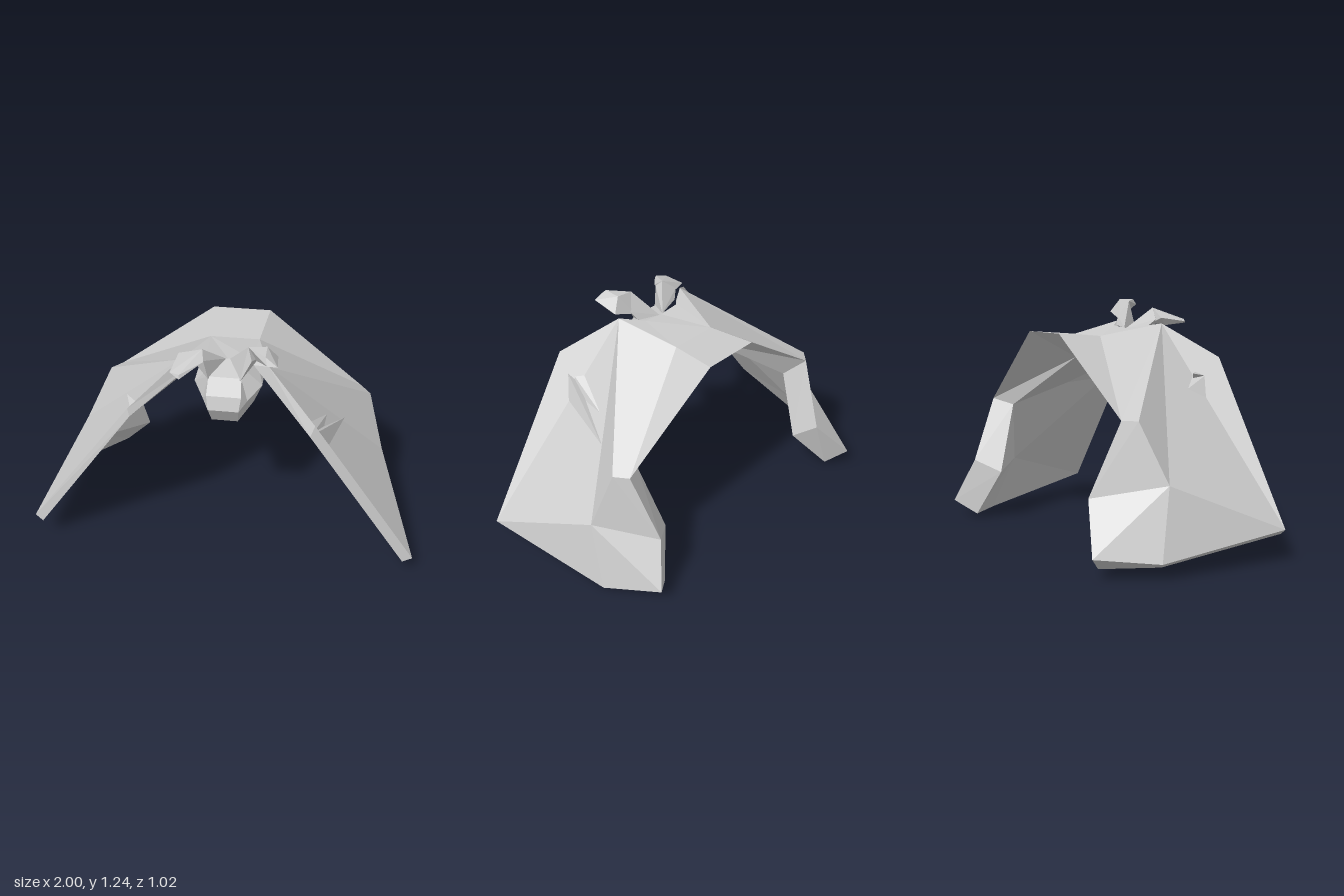
import * as THREE from 'three';
import { ConvexGeometry } from 'three/addons/geometries/ConvexGeometry.js';

const material = new THREE.MeshStandardMaterial({ color: 0xcccccc, flatShading: true, side: THREE.DoubleSide });

// Capitals are the outer skin, small letters the underside (x measured outward).
const leftHide = {
  S: [0.17, 1.08, -0.29], T: [0.14, 1.06, -0.03], N: [0.12, 1.1, 0.21], A: [0.22, 1.12, 0.3],
  B: [0.46, 0.94, 0.5], C: [1, 0.12, 0.48], D: [0.86, 0.02, -0.21], E: [0.72, 0.09, -0.49],
  G: [0.63, 0.33, -0.4], R: [0.68, 0.67, -0.25], P: [0.73, 0.67, -0.18], Q: [0.82, 0.36, -0.1],
  a: [0.14, 1.09, 0.25], b: [0.44, 0.88, 0.51], c: [0.95, 0.1, 0.49], d: [0.8, 0, -0.2],
  e: [0.61, 0.02, -0.4], g: [0.5, 0.27, -0.3], r: [0.57, 0.64, -0.18], q: [0.71, 0.3, -0.1],
  s: [0.18, 0.93, 0],
};
const rightHide = {
  S: [0.13, 1.08, -0.29], T: [0.11, 1.06, -0.03], N: [0.1, 1.1, 0.21], A: [0.21, 1.12, 0.29],
  B: [0.44, 0.95, 0.49], C: [1, 0.16, 0.45], D: [0.93, 0.08, -0.23], E: [0.78, 0.11, -0.51],
  G: [0.59, 0.34, -0.41], R: [0.64, 0.7, -0.26], P: [0.695, 0.7, -0.2], Q: [0.83, 0.41, -0.12],
  a: [0.14, 1.09, 0.25], b: [0.43, 0.91, 0.5], c: [0.96, 0.13, 0.46], d: [0.88, 0.05, -0.2],
  e: [0.69, 0.03, -0.42], g: [0.52, 0.26, -0.3], r: [0.56, 0.61, -0.17], q: [0.74, 0.31, -0.08],
  s: [0.16, 0.93, 0],
};
const outerFaces = 'STR TAR APR AQP ACQ ABC QCD QDE QEG PQG PGR TNA';
const innerFaces = 'SRs Rrs srb sba saN brq bqc rgq geq edq dcq';
const rim = 'ABCDEGR';

// Builds a flat-shaded mesh from polygons, each fanned into triangles.
function polygons(name, faces) {
  const pos = [];
  for (const f of faces)
    for (let i = 1; i < f.length - 1; i++) pos.push(...f[0], ...f[i], ...f[i + 1]);
  const geo = new THREE.BufferGeometry();
  geo.setAttribute('position', new THREE.Float32BufferAttribute(pos, 3));
  geo.computeVertexNormals();
  const mesh = new THREE.Mesh(geo, material);
  mesh.name = name;
  return mesh;
}

function hull(name, points) {
  const mesh = new THREE.Mesh(new ConvexGeometry(points.map(p => new THREE.Vector3(...p))), material);
  mesh.name = name;
  return mesh;
}

// One draped half of the hide: skin, underside and the rim between them.
function hideHalf(name, pts, side) {
  const at = k => [pts[k][0] * side, pts[k][1], pts[k][2]];
  const keys = `${outerFaces} ${innerFaces} NaA`.split(' ');
  for (let i = 0; i < rim.length - 1; i++) {
    const [o, n] = [rim[i], rim[i + 1]];
    keys.push(o + o.toLowerCase() + n.toLowerCase() + n);
  }
  return polygons(name, keys.map(k => {
    const face = [...k].map(at);
    return side > 0 ? face : face.reverse();
  }));
}

// Head lofted from six-sided sections, each given by its crown, cheek and jaw point.
function head() {
  const rings = [
    [[0.11, 1.04, 0], [0.17, 0.93, 0], [0.1, 0.91, 0]],
    [[0.02, 1.09, 0.21], [0.17, 0.94, 0.2], [0.13, 0.84, 0.2]],
    [[0.08, 1.06, 0.33], [0.11, 0.93, 0.33], [0.075, 0.81, 0.31]],
    [[0.085, 0.98, 0.38], [0.075, 0.91, 0.4], [0.065, 0.81, 0.34]],
  ].map(([crown, cheek, jaw]) => {
    const place = ([x, y, z], side) => [x * side + 0.01, y, z];
    return [place(crown, 1), place(crown, -1), place(cheek, -1), place(jaw, -1), place(jaw, 1), place(cheek, 1)];
  });
  // Nose and chin close the front
  const [c0, c1, k1, j1, j0, k0] = rings[3];
  const faces = [[c0, c1, k1, k0], [k0, k1, j1, j0]];
  for (let k = 0; k < 3; k++)
    for (let i = 0; i < 6; i++) {
      const j = (i + 1) % 6;
      faces.push([rings[k][j], rings[k + 1][j], rings[k + 1][i], rings[k][i]]);
    }
  return polygons('head', faces);
}

export function createModel() {
  const group = new THREE.Group();
  group.add(hideHalf('leftHide', leftHide, 1), hideHalf('rightHide', rightHide, -1));

  // Strip along the spine joining both halves
  const L = k => leftHide[k];
  const R = k => [-rightHide[k][0], rightHide[k][1], rightHide[k][2]];
  group.add(polygons('spine', [
    [R('S'), R('T'), L('T'), L('S')],
    [R('T'), R('N'), [0.01, 1.09, 0.21], L('N'), L('T')],
    [L('S'), L('s'), R('s'), R('S')],
  ]));

  group.add(head());

  // Ears: a stem rising from the crown and a broad faceted leaf
  group.add(
    hull('leftEarStem', [[0.02, 1.09, 0.21], [0.085, 1.05, 0.34], [0.14, 1.1, 0.24],
      [0.12, 1.23, 0.31], [0.14, 1.17, 0.34], [0.17, 1.15, 0.27]]),
    hull('leftEar', [[0.12, 1.23, 0.31], [0.21, 1.24, 0.31], [0.21, 1.24, 0.4], [0.27, 1.2, 0.42],
      [0.22, 1.21, 0.43], [0.26, 1.17, 0.28], [0.24, 1.15, 0.32], [0.14, 1.18, 0.29], [0.14, 1.13, 0.26]]),
    hull('rightEarStem', [[0, 1.09, 0.21], [-0.07, 1.05, 0.34], [-0.13, 1.1, 0.25],
      [-0.1, 1.2, 0.31], [-0.09, 1.16, 0.35], [-0.17, 1.14, 0.28]]),
    hull('rightEar', [[-0.1, 1.2, 0.31], [-0.09, 1.16, 0.36], [-0.22, 1.15, 0.28], [-0.2, 1.11, 0.32],
      [-0.13, 1.12, 0.28], [-0.24, 1.13, 0.42], [-0.19, 1.12, 0.46], [-0.19, 1.14, 0.45]]),
  );

  // Creases standing out of the skin behind the front legs
  group.add(
    hull('leftCrease', [[0.48, 0.85, 0.42], [0.6, 0.66, 0.04], [0.53, 0.73, 0.37], [0.46, 0.81, 0.36]]),
    hull('rightCrease', [[-0.49, 0.88, 0.28], [-0.45, 0.86, 0.39], [-0.43, 0.88, 0.34], [-0.44, 0.85, 0.32]]),
  );
  return group;
}
